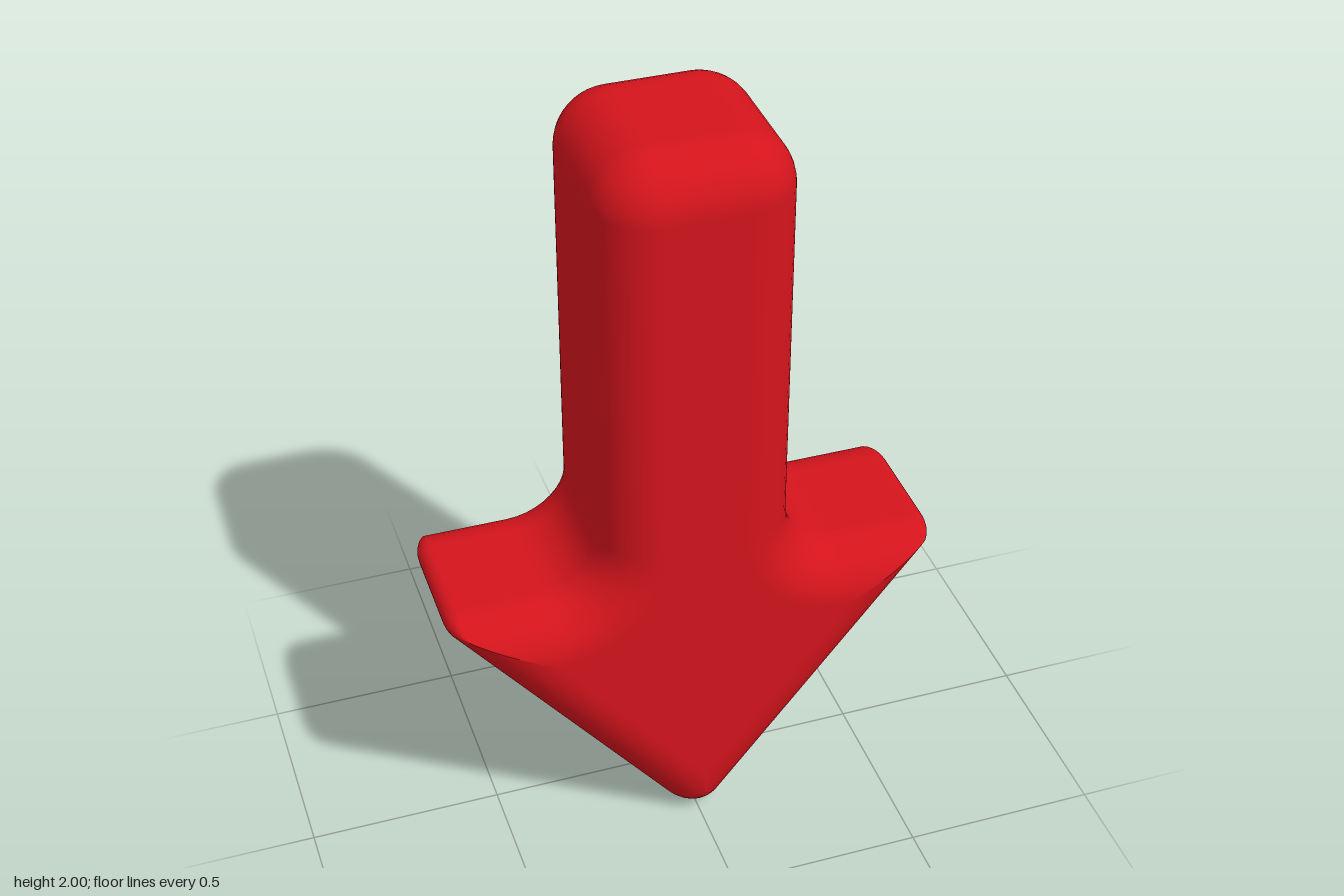
import * as THREE from 'three';

const HALF_DEPTH = 0.263, BEVEL = 0.14, ARC_STEPS = 10, BEVEL_STEPS = 10;

// Sharp corners of the arrow, counter-clockwise from the tip: x, y, fillet radius
const CORNERS = [
  [0, -0.063, 0.1],
  [0.673, 0.79, 0.034], [0.245, 0.79, 0.14], [0.245, 2, 0.14],
  [-0.245, 2, 0.14], [-0.245, 0.79, 0.14], [-0.673, 0.79, 0.034],
];

// Filleted outline moved inward by d; every d gives the same number of points
function outline(d) {
  const points = [];
  const n = CORNERS.length;
  const inward = (a, b) => new THREE.Vector2(a[1] - b[1], b[0] - a[0]).normalize();
  CORNERS.forEach((corner, i) => {
    const n1 = inward(CORNERS[(i + n - 1) % n], corner);
    const n2 = inward(corner, CORNERS[(i + 1) % n]);
    const turn = Math.atan2(n1.cross(n2), n1.dot(n2));
    const sign = Math.sign(turn); // +1 convex, -1 concave
    const radius = Math.max(0, corner[2] - sign * d);
    const miter = n1.clone().add(n2).divideScalar(1 + n1.dot(n2));
    const center = new THREE.Vector2(corner[0], corner[1]).addScaledVector(miter, d + sign * radius);
    const start = Math.atan2(-n1.y, -n1.x);
    for (let k = 0; k <= ARC_STEPS; k++) {
      const t = start + turn * k / ARC_STEPS;
      const normal = new THREE.Vector2(Math.cos(t), Math.sin(t));
      points.push({ p: center.clone().addScaledVector(normal, sign * radius), normal });
    }
  });
  return points;
}

// Rings from the front face round the bevels to the back face, plus two caps
function roundedArrowGeometry() {
  const positions = [], normals = [], index = [];
  const flat = HALF_DEPTH - BEVEL;
  const rings = [];
  for (let k = 0; k <= BEVEL_STEPS; k++) rings.push([Math.PI / 2 * (1 - k / BEVEL_STEPS), flat]);
  for (let k = 0; k <= BEVEL_STEPS; k++) rings.push([-Math.PI / 2 * k / BEVEL_STEPS, -flat]);

  for (const [angle, z] of rings) {
    const c = Math.cos(angle), s = Math.sin(angle);
    for (const { p, normal } of outline(BEVEL * (1 - c))) {
      positions.push(p.x, p.y, z + BEVEL * s);
      normals.push(normal.x * c, normal.y * c, s);
    }
  }

  const count = CORNERS.length * (ARC_STEPS + 1);
  for (let j = 0; j < rings.length - 1; j++) {
    for (let i = 0; i < count; i++) {
      const a = j * count + i, b = j * count + (i + 1) % count;
      index.push(a, a + count, b, b, a + count, b + count);
    }
  }

  // Flat front and back faces
  const last = (rings.length - 1) * count;
  const face = outline(BEVEL).map(o => o.p);
  for (const [a, b, c] of THREE.ShapeUtils.triangulateShape(face, [])) {
    index.push(a, b, c, last + a, last + c, last + b);
  }

  const geometry = new THREE.BufferGeometry();
  geometry.setAttribute('position', new THREE.Float32BufferAttribute(positions, 3));
  geometry.setAttribute('normal', new THREE.Float32BufferAttribute(normals, 3));
  geometry.setIndex(index);
  return geometry;
}

export function createModel() {
  const group = new THREE.Group();
  group.name = 'downArrow';
  const arrow = new THREE.Mesh(
    roundedArrowGeometry(),
    new THREE.MeshStandardMaterial({ color: 0xd4141c })
  );
  arrow.name = 'arrowBody';
  group.add(arrow);
  return group;
}
